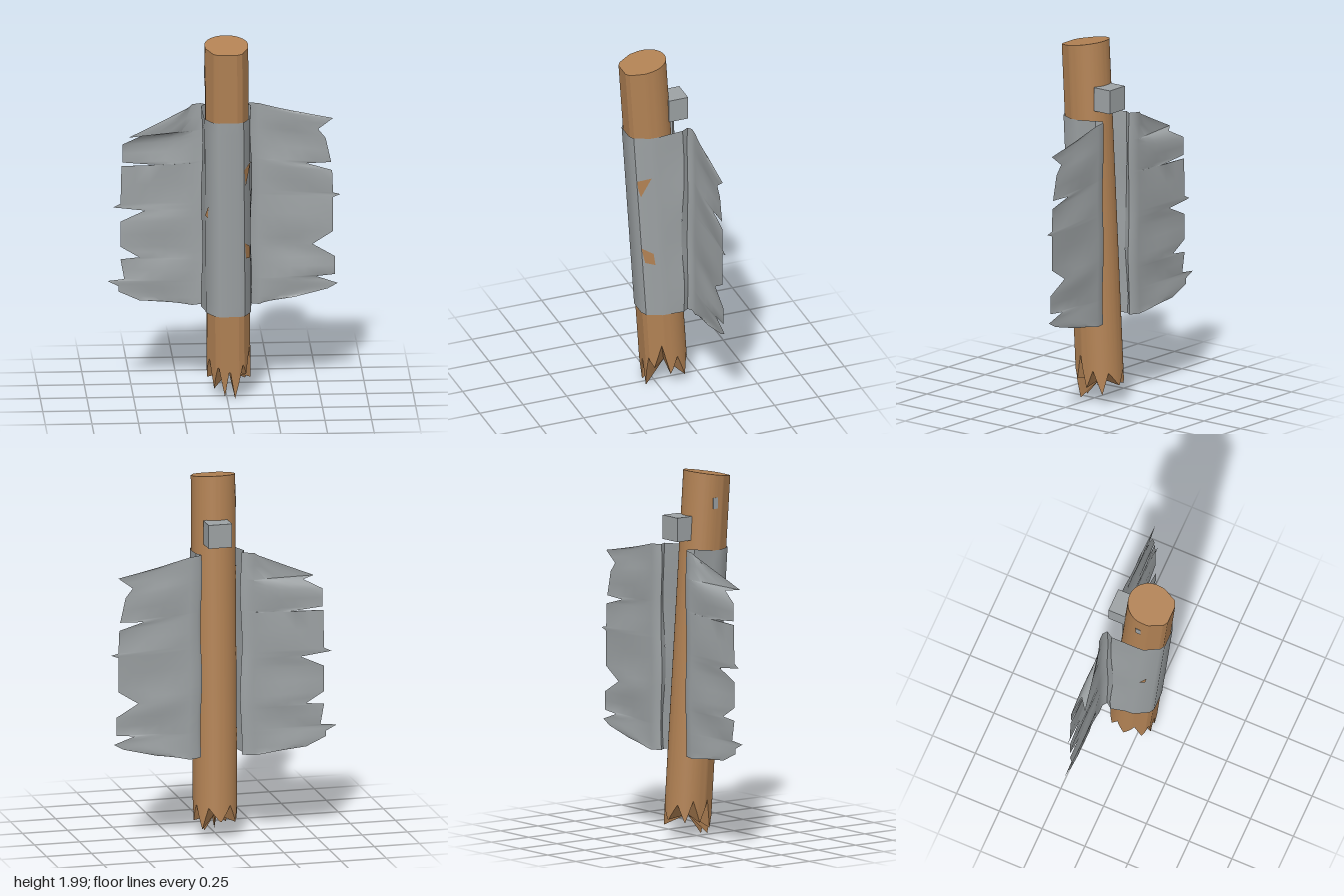
import * as THREE from 'three';
import { toCreasedNormals } from 'three/addons/utils/BufferGeometryUtils.js';

const wood = new THREE.MeshStandardMaterial({ color: 0xb28254, side: THREE.DoubleSide });
wood.name = 'wood';
const steel = new THREE.MeshStandardMaterial({ color: 0x9da2a4, side: THREE.DoubleSide });
steel.name = 'grey sheet metal';

// Surface through rows of points
function loft(rows, crease) {
  const pos = [], idx = [], n = rows[0].length;
  rows.forEach(r => r.forEach(p => pos.push(...p)));
  for (let i = 0; i < rows.length - 1; i++) {
    for (let j = 0; j < n - 1; j++) {
      const a = i * n + j, b = a + 1, c = b + n, d = a + n;
      idx.push(a, b, c, a, c, d);
    }
  }
  const g = new THREE.BufferGeometry();
  g.setAttribute('position', new THREE.Float32BufferAttribute(pos, 3));
  g.setIndex(idx);
  g.computeVertexNormals();
  return toCreasedNormals(g, crease);
}

function add(group, name, geometry, material) {
  const m = new THREE.Mesh(geometry, material);
  m.name = name;
  group.add(m);
  return m;
}

// Place a point of the post's cross-section at height y on the leaning axis
const lean = (x, z, y, s = 1) => [0.015 - 0.01 * y + x * s, y, -0.06 + 0.0612 * y + z * s];

// Front half of the cross-section, from the right side round to the left
const front = [[-0.117, -0.01], [-0.115, 0.03], [-0.075, 0.105], [-0.05, 0.12],
  [0.05, 0.12], [0.08, 0.105], [0.115, 0.03], [0.117, -0.01]];

// Broken lower end: height against the fraction of the way round
const teeth = [[0, 0.13], [0.04, 0.2], [0.1, 0.07], [0.15, 0.19], [0.236, 0.11], [0.31, 0.2],
  [0.37, 0.1], [0.42, 0.22], [0.48, 0.1], [0.55, 0.22], [0.61, 0.06], [0.655, 0.2], [0.7, 0.02],
  [0.735, 0.18], [0.77, 0.01], [0.83, 0.2], [0.87, 0.14], [0.93, 0.28], [0.98, 0.1], [1, 0.13]];
function toothY(t) {
  const k = Math.max(1, teeth.findIndex(p => p[0] >= t - 1e-6));
  const [a, b] = [teeth[k - 1], teeth[k]];
  return a[1] + (b[1] - a[1]) * (t - a[0]) / (b[0] - a[0]);
}

function postGeometry() {
  const shape = new THREE.Shape();
  shape.absarc(0, -0.01, 0.117, 0, -Math.PI, true);
  front.slice(1).forEach(p => shape.lineTo(...p));
  const N = 100, ring = shape.getSpacedPoints(N);
  const row = f => ring.map((p, i) => f(p.x, p.y, Math.min(1, i / N)));
  return loft([
    row(() => lean(0, 0, 0.13)),
    row((x, z, t) => lean(x, z, toothY(t))),
    row((x, z) => lean(x, z, 0.45)),
    row((x, z) => lean(x, z, 1.98 - 0.17 * z)),
    row(() => lean(0, 0, 1.98)),
  ], 0.35);
}

// Inner edge of each wing, where it meets the wrap
const hinge = (side, y) => [(side > 0 ? 0.138 : -0.127) + 0.005 * Math.sin(y * 11 + side),
  y, -0.115 + 0.008 * Math.sin(y * 8)];

// Sheet bent round the front of the post
function wrapGeometry() {
  const rows = [];
  for (let i = 0; i <= 16; i++) {
    const t = i / 16, y = 0.475 + 1.1 * t, yEnd = 0.475 + 1.12 * t;
    rows.push([hinge(-1, yEnd), ...front.map(p => lean(p[0], p[1], y, 1.05)), hinge(1, yEnd)]);
  }
  return loft(rows, 0.6);
}

// Torn outer edges, top to bottom: x, y and optional z of the bent corner
const leftEdge = [[0.36, 1.545], [0.58, 1.5], [0.5, 1.44], [0.54, 1.39], [0.57, 1.255], [0.44, 1.25],
  [0.575, 1.21], [0.58, 1.085], [0.62, 1.075], [0.58, 1.06], [0.58, 0.87], [0.47, 0.8], [0.59, 0.73],
  [0.59, 0.63], [0.49, 0.62], [0.605, 0.58], [0.55, 0.55], [0.37, 0.505], [0.25, 0.488]];
const rightEdge = [[-0.2, 1.57, -0.155], [-0.52, 1.428, -0.1], [-0.45, 1.422, -0.15], [-0.55, 1.37],
  [-0.55, 1.27], [-0.36, 1.253], [-0.555, 1.25], [-0.56, 1.04], [-0.6, 1.02], [-0.43, 1.0],
  [-0.56, 0.94], [-0.56, 0.8], [-0.46, 0.74], [-0.56, 0.73], [-0.54, 0.62], [-0.63, 0.61],
  [-0.57, 0.58], [-0.57, 0.55], [-0.46, 0.5], [-0.3, 0.488]];

function wingGeometry(side, edge) {
  const top = edge[0][1], bottom = edge[edge.length - 1][1];
  // Extra rows between edge points keep the hinge wavy
  const points = edge.flatMap((p, i) => {
    if (!i) return [p];
    const q = edge[i - 1], z = ((p[2] ?? -0.17) + (q[2] ?? -0.17)) / 2;
    return [[(p[0] + q[0]) / 2, (p[1] + q[1]) / 2, z], p];
  });
  const rows = points.map(([x, y, z = -0.17]) => {
    const yIn = 0.475 + 1.12 * (y - bottom) / (top - bottom);
    const h = hinge(side, yIn);
    const row = [h, [h[0] - side * 0.022, yIn, -0.15], [h[0], yIn, -0.168], [h[0] + side * 0.045, yIn - 0.005, -0.168]];
    const s = row[3];
    for (let k = 1; k <= 5; k++) {
      const t = k / 5;
      const ripple = 0.007 * Math.sin(y * 22) * Math.sin(Math.PI * t);
      row.push([s[0] + (x - s[0]) * t, s[1] + (y - s[1]) * t, s[2] + (z - s[2]) * t + ripple]);
    }
    return row;
  });
  return loft(rows, 0.9);
}

// Thin patch lying on a slanted front facet; corners are [section z, y]
function patchGeometry(side, corners, scale) {
  const pts = corners.map(([z, y]) =>
    new THREE.Vector3(...lean(side * (0.115 - (z - 0.03) * 0.5), z, y, scale)));
  const tri = [];
  for (let i = 1; i < pts.length - 1; i++) {
    tri.push(pts[0], ...(side > 0 ? [pts[i + 1], pts[i]] : [pts[i], pts[i + 1]]));
  }
  const g = new THREE.BufferGeometry().setFromPoints(tri);
  g.computeVertexNormals();
  return g;
}

export function createModel() {
  const model = new THREE.Group();
  model.name = 'brokenPostWithSheet';

  add(model, 'post', postGeometry(), wood);
  add(model, 'wrap', wrapGeometry(), steel);
  add(model, 'leftWing', wingGeometry(1, leftEdge), steel);
  add(model, 'rightWing', wingGeometry(-1, rightEdge), steel);

  // Rust holes that show the post
  add(model, 'upperHole', patchGeometry(1, [[0.035, 1.33], [0.1, 1.305], [0.097, 1.25], [0.088, 1.21]], 1.09), wood);
  add(model, 'lowerHole', patchGeometry(1, [[0.07, 0.87], [0.102, 0.89], [0.09, 0.8], [0.045, 0.79], [0.05, 0.86]], 1.09), wood);
  add(model, 'sideHole', patchGeometry(-1, [[0.035, 1.03], [0.065, 1.09], [0.06, 1.02]], 1.09), wood);

  // Block on the back and a small plate on the side
  const block = add(model, 'backBlock', new THREE.BoxGeometry(0.13, 0.13, 0.11), steel);
  block.position.set(0.015, 1.695, -0.113);
  const plate = add(model, 'sidePlate', new THREE.BoxGeometry(0.006, 0.06, 0.03), steel);
  plate.position.set(-0.12, 1.83, 0.035);

  return model;
}
